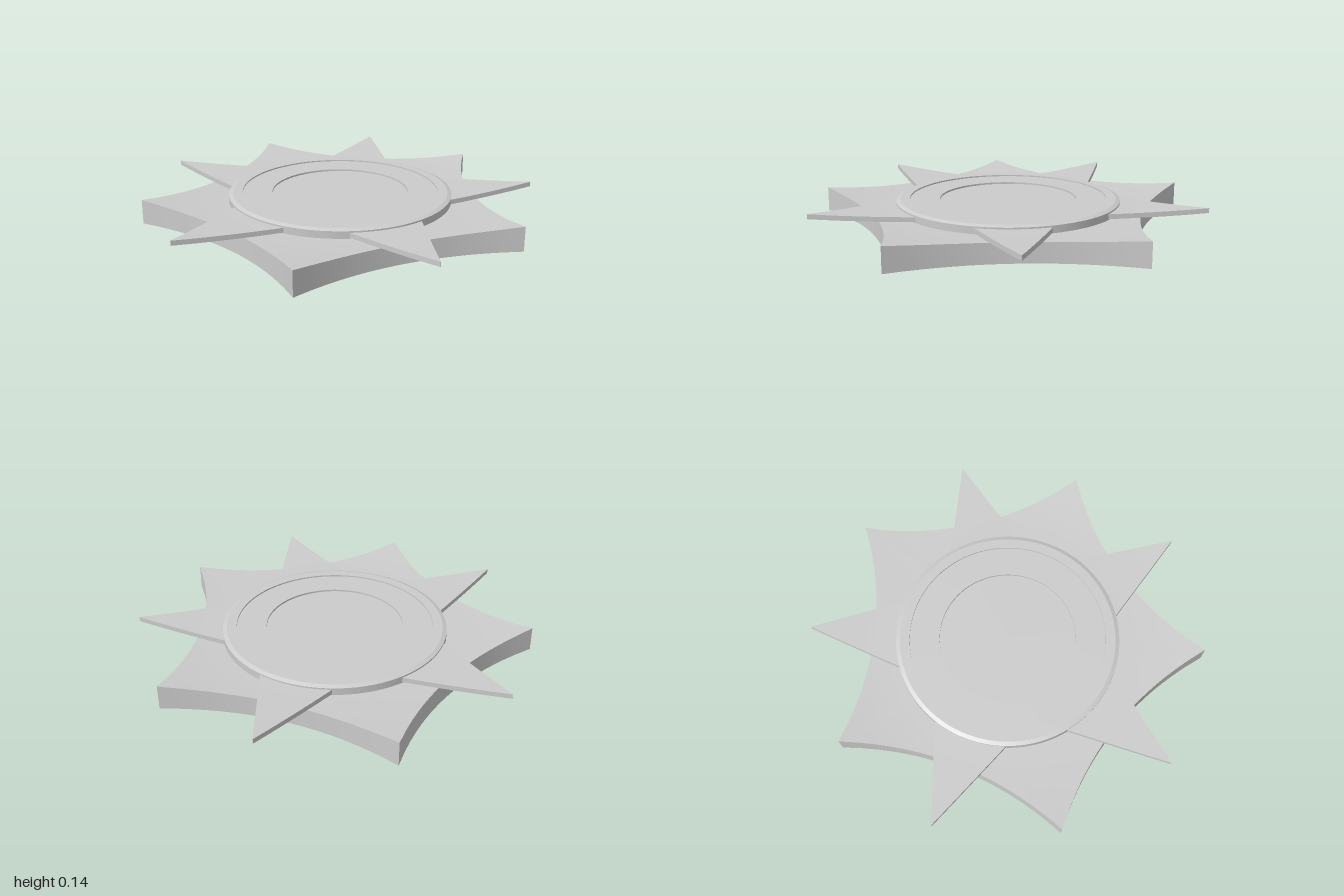
import * as THREE from 'three';
import { toCreasedNormals } from 'three/addons/utils/BufferGeometryUtils.js';

const material = new THREE.MeshStandardMaterial({ color: 0xcccccc });
const SECTOR = (Math.PI * 2) / 5;

// Radius of the five-pointed outline, whose sides bow inwards
function outlineRadius(angle) {
  const a = angle - Math.round(angle / SECTOR) * SECTOR;
  const k = 0.325 * Math.sin(a) ** 2;
  const c = Math.cos(a);
  return 1.38 / (c + Math.sqrt(c * c - 4 * k * 0.69));
}

// Dished top of the base: low by the disc, rising to the tips
function baseTop(r) {
  const t = Math.max(0, (r - 0.52) / 0.47);
  return 0.095 + 0.03 * t * t;
}

function lathe(points, segments) {
  return new THREE.LatheGeometry(points.map(([x, y]) => new THREE.Vector2(x, y)), segments);
}

// Thick star: a lathed slab pushed out to the outline
function createBase() {
  const profile = [[0, 0], [1, 0]];
  for (let i = 12; i >= 0; i--) profile.push([i / 12, 1]);
  const geometry = lathe(profile, 100);
  const p = geometry.attributes.position;
  for (let i = 0; i < p.count; i++) {
    const x = p.getX(i), z = p.getZ(i);
    const scale = outlineRadius(Math.atan2(x, z));
    const r = Math.hypot(x, z) * scale;
    p.setXYZ(i, x * scale, p.getY(i) > 0.5 ? baseTop(r) : 0, z * scale);
  }
  return new THREE.Mesh(toCreasedNormals(geometry, 0.5), material);
}

// Thin pointed ray that curves upwards towards its tip
function createRay() {
  const inner = 0.5, outer = 1.01;
  const geometry = new THREE.BoxGeometry(1, 1, 1, 1, 1, 14);
  const p = geometry.attributes.position;
  for (let i = 0; i < p.count; i++) {
    const t = p.getZ(i) + 0.5;
    const top = 0.124 + 0.016 * t * t;
    const width = 0.39 * (1 - t) + 0.002;
    p.setXYZ(i, p.getX(i) * width, p.getY(i) > 0 ? top : top - 0.024, inner + (outer - inner) * t);
  }
  geometry.computeVertexNormals();
  return new THREE.Mesh(geometry, material);
}

export function createModel() {
  const model = new THREE.Group();
  model.name = 'starMedallion';

  const base = createBase();
  base.name = 'starBase';
  model.add(base);

  const rays = new THREE.Group();
  rays.name = 'rays';
  for (let i = 0; i < 5; i++) {
    const ray = createRay();
    ray.name = 'ray';
    ray.rotation.y = i * SECTOR;
    rays.add(ray);
  }
  model.add(rays);

  // Round disc with a bevelled rim and two shallow steps
  const disc = new THREE.Mesh(
    toCreasedNormals(lathe([
      [0, 0.08], [0.565, 0.08], [0.565, 0.132], [0.545, 0.14], [0.496, 0.14],
      [0.496, 0.133], [0.345, 0.133], [0.345, 0.124], [0, 0.124],
    ], 96), 0.2),
    material
  );
  disc.name = 'centreDisc';
  disc.position.z = -0.012;
  model.add(disc);

  model.position.set(-0.005, 0, -0.01);
  const root = new THREE.Group();
  root.add(model);
  return root;
}
